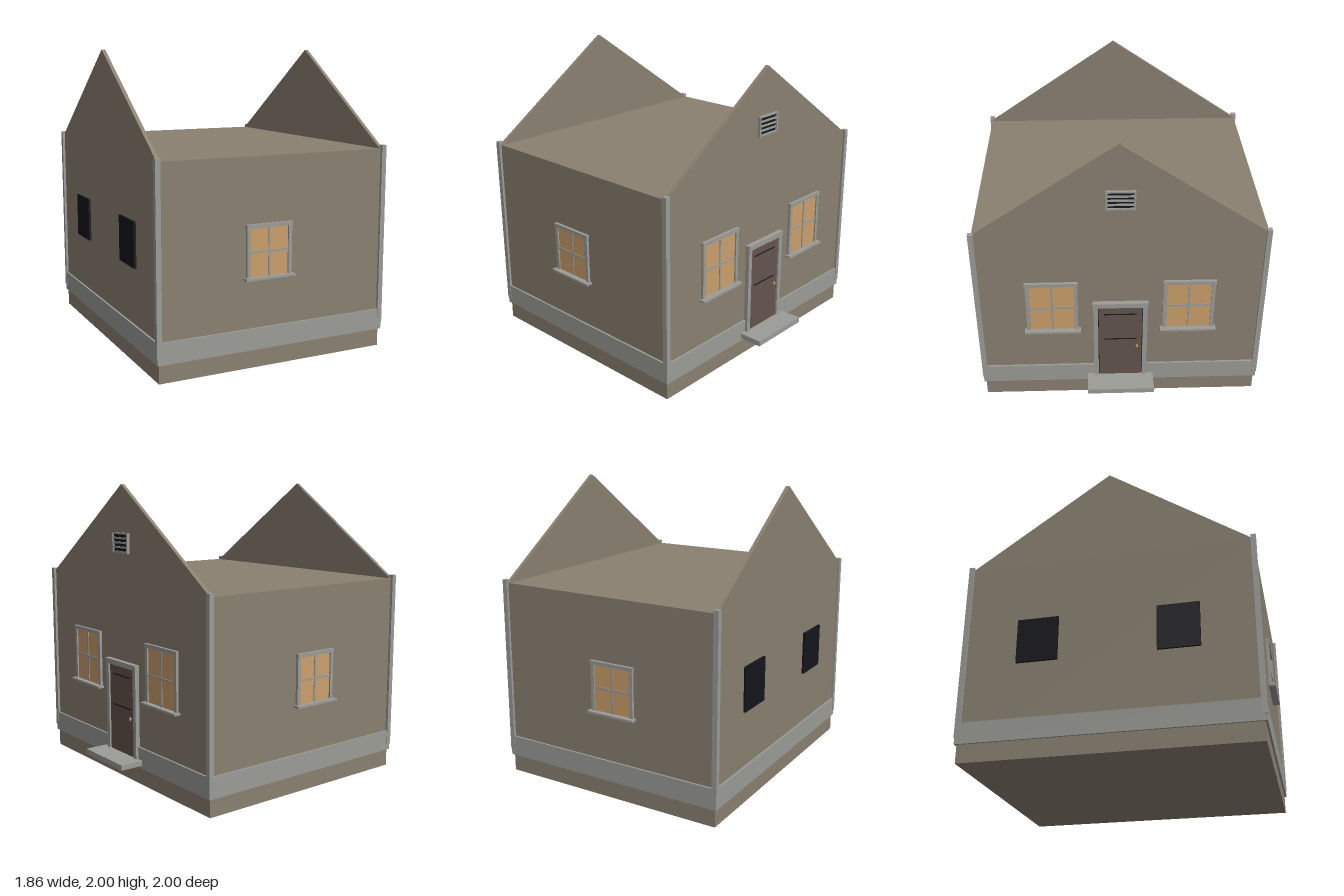
import * as THREE from 'three';

const W = 1.607, D = 1.89, WALL_TOP = 1.35, PEAK = 1.995;

const material = (name, color) => {
  const m = new THREE.MeshStandardMaterial({ color });
  m.name = name;
  return m;
};

export function createModel() {
  const wall = material('wall brown', 0x8a8071);
  const trim = material('trim grey', 0x9b9c97);
  const glass = material('lit glass', 0xcb9f6b);
  const doorBrown = material('door brown', 0x64544d);
  const dark = material('dark opening', 0x15161c);
  const brass = material('brass', 0xc8964f);

  const model = new THREE.Group();
  model.name = 'house';
  const house = new THREE.Group();
  house.name = 'houseBody';
  house.position.x = -0.063;
  house.rotation.y = 0.05;
  model.add(house);

  // Box given by its centre in x and z and its bottom and top in y
  const box = (parent, name, mat, w, d, y0, y1, x = 0, z = 0) => {
    const mesh = new THREE.Mesh(new THREE.BoxGeometry(w, y1 - y0, d), mat);
    mesh.name = name;
    mesh.position.set(x, (y0 + y1) / 2, z);
    parent.add(mesh);
    return mesh;
  };

  // Group on a wall: its x runs along the wall, its z points outward
  const onWall = (name, angle, distance, along = 0) => {
    const outer = new THREE.Group();
    outer.rotation.y = angle;
    const g = new THREE.Group();
    g.name = outer.name = name;
    g.position.set(along, 0, distance);
    outer.add(g);
    house.add(outer);
    return g;
  };

  // Box standing out from the wall between z0 and z1
  const plate = (g, name, mat, w, y0, y1, z1, x = 0, z0 = -0.005) =>
    box(g, name, mat, w, z1 - z0, y0, y1, x, (z0 + z1) / 2);

  // Main block and base band
  box(house, 'walls', wall, W, D, 0, WALL_TOP);
  box(house, 'baseBand', trim, W + 0.027, D + 0.027, 0.12, 0.26);

  // Gable walls and corner posts
  const gableShape = new THREE.Shape([
    new THREE.Vector2(-D / 2, WALL_TOP),
    new THREE.Vector2(D / 2, WALL_TOP),
    new THREE.Vector2(0, PEAK),
  ]);
  const T = 0.025;
  for (const s of [-1, 1]) {
    const gable = new THREE.Mesh(
      new THREE.ExtrudeGeometry(gableShape, { depth: T, bevelEnabled: false }), wall);
    gable.name = 'gable';
    gable.rotation.y = Math.PI / 2;
    gable.position.x = s > 0 ? W / 2 - T : -W / 2;
    house.add(gable);
    for (const t of [-1, 1]) {
      box(house, 'cornerPost', trim, 0.034, 0.034, 0.163, 1.373, s * W / 2, t * D / 2);
    }
  }

  // Four-pane window with frame, bars and sill; w is the pane width
  const addWindow = (angle, distance, along, w, top) => {
    const g = onWall('window', angle, distance, along);
    const y0 = 0.59, f = 0.025, mid = (y0 + top) / 2 + 0.003;
    plate(g, 'pane', glass, w + 0.01, y0, top + 0.005, 0.008);
    for (const s of [-1, 1]) {
      plate(g, 'frameSide', trim, f, y0, top, 0.018, s * (w + f) / 2);
    }
    plate(g, 'frameHead', trim, w + 2 * f + 0.006, top, top + f, 0.021);
    plate(g, 'uprightBar', trim, 0.013, y0, top, 0.013);
    plate(g, 'crossBar', trim, w, mid - 0.0065, mid + 0.0065, 0.0135);
    plate(g, 'sill', trim, w + 0.083, 0.577, 0.592, 0.045);
  };
  const RIGHT = Math.PI / 2;
  for (const s of [-1, 1]) addWindow(RIGHT, W / 2, s * 0.456, 0.295, 0.956);
  addWindow(0, D / 2, -0.055, 0.27, 0.903);
  addWindow(Math.PI, D / 2, 0.055, 0.27, 0.903);

  // Plain dark openings on the far gable wall
  for (const s of [-1, 1]) {
    const g = onWall('darkOpening', -RIGHT, W / 2, s * 0.455);
    plate(g, 'openingPanel', dark, 0.272, 0.635, 0.935, 0.015);
  }

  // Door with frame, panel grooves, knob and step
  const door = onWall('door', RIGHT, W / 2);
  plate(door, 'doorGap', dark, 0.31, 0.17, 0.785, 0.015);
  plate(door, 'doorLeaf', doorBrown, 0.292, 0.175, 0.775, 0.02);
  for (const s of [-1, 1]) {
    plate(door, 'doorJamb', trim, 0.032, 0.13, 0.78, 0.03, s * 0.166);
  }
  plate(door, 'doorHead', trim, 0.372, 0.78, 0.815, 0.034);
  for (const y of [0.5, 0.715]) {
    plate(door, 'panelGroove', dark, 0.22, y - 0.004, y + 0.004, 0.022);
  }
  const knob = new THREE.Mesh(new THREE.SphereGeometry(0.009, 12, 8), brass);
  knob.name = 'doorKnob';
  knob.position.set(0.113, 0.437, 0.028);
  knob.scale.y = 1.5;
  door.add(knob);
  plate(door, 'doorStep', trim, 0.455, 0.14, 0.176, 0.175);

  // Louvred vent high in the gable
  const vent = onWall('vent', RIGHT, W / 2);
  plate(vent, 'ventBack', dark, 0.18, 1.55, 1.675, 0.008);
  for (const s of [-1, 1]) {
    plate(vent, 'ventSide', trim, 0.012, 1.546, 1.68, 0.02, s * 0.088);
  }
  for (const y of [1.552, 1.583, 1.613, 1.643, 1.674]) {
    plate(vent, 'ventSlat', trim, 0.166, y - 0.006, y + 0.006, 0.017);
  }

  return model;
}
